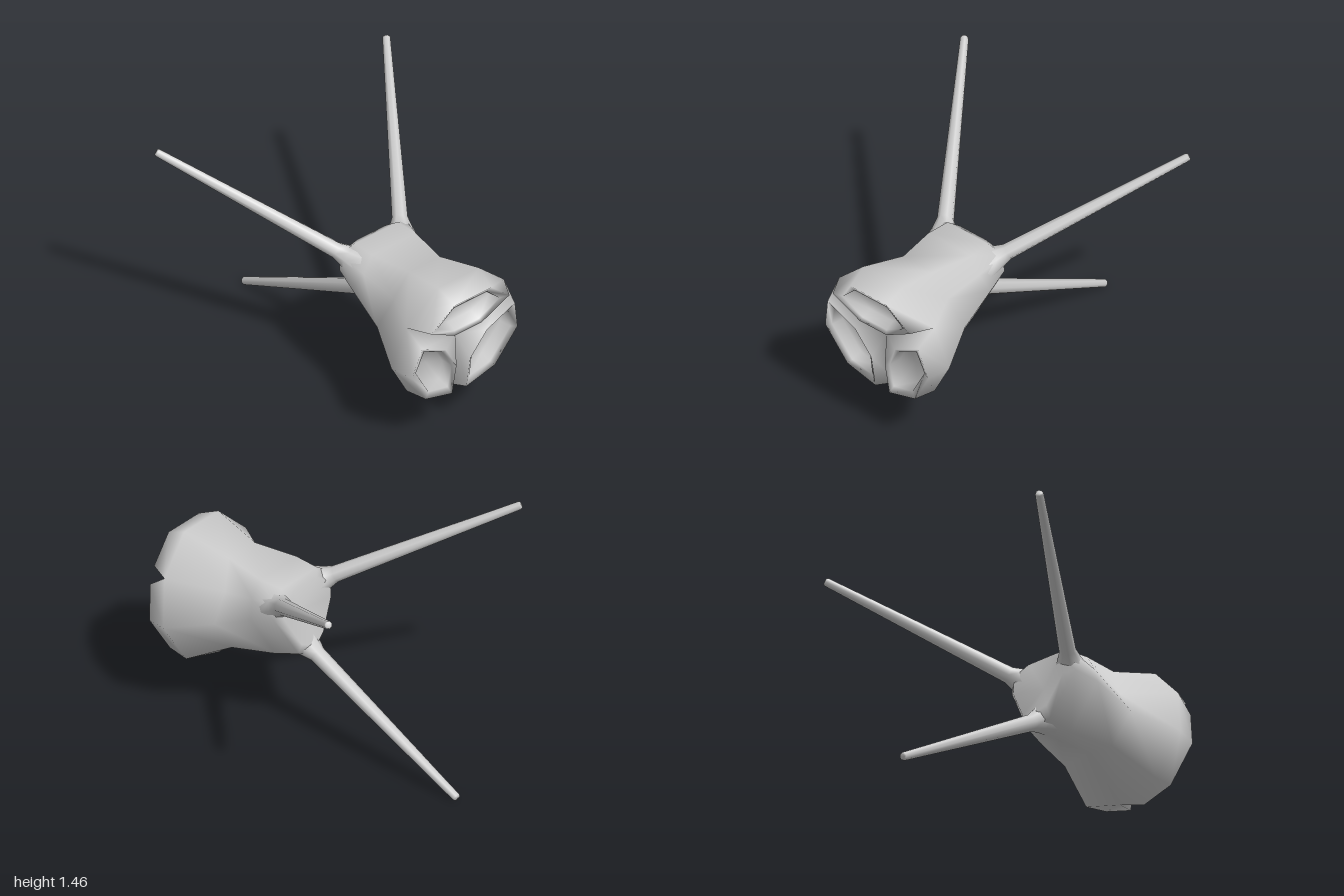
import * as THREE from 'three';
import { mergeVertices } from 'three/addons/utils/BufferGeometryUtils.js';

const material = new THREE.MeshStandardMaterial({ color: 0xcccccc });
const THIRD = (Math.PI * 2) / 3;

// One third of a nine-sided ring: radius and depth at the leg corners, then the two points between.
function arc(legR, legZ, x, y, z) {
  const lx = legR * Math.cos(Math.PI / 6), ly = legR / 2;
  return [[lx, ly, legZ], [x, y, z], [-x, y, z], [-lx, ly, legZ]];
}

// Six-sided loop, mirrored left to right: outer corner, top and bottom points.
function hex(side, top, bottom, z) {
  return [[side[0], side[1], z], [top[0], top[1], z], [-top[0], top[1], z],
    [-side[0], side[1], z], [-bottom[0], bottom[1], z], [bottom[0], bottom[1], z]];
}

function bodyGeometry() {
  const out = [];
  const same = (p, q) => p.every((v, i) => Math.abs(v - q[i]) < 1e-6);
  const tri = (a, b, c) => {
    if (!same(a, b) && !same(b, c) && !same(a, c)) out.push(a, b, c);
  };
  const stitch = (loops, closed) => {
    for (let k = 0; k < loops.length - 1; k++) {
      const a = loops[k], b = loops[k + 1], n = a.length;
      for (let i = 0; i < (closed ? n : n - 1); i++) {
        const j = (i + 1) % n;
        tri(a[i], a[j], b[j]);
        tri(a[i], b[j], b[i]);
      }
    }
  };

  // Shell from the middle of the back to the wide front rim
  const rim = arc(0.41, 0.74, 0.148, 0.403, 0.736);
  stitch([
    Array(4).fill([0, 0, 0.06]),
    arc(0.21, -0.01, 0.1, 0.165, 0.01),
    arc(0.28, 0.03, 0.155, 0.195, 0.05),
    arc(0.258, 0.22, 0.16, 0.228, 0.2),
    arc(0.218, 0.452, 0.112, 0.282, 0.458),
    rim,
  ], false);

  // Front pad: groove, raised ridge and sunken window
  const mid = [0, 0, 0.775];
  stitch([
    [...rim, mid, mid],
    hex([0.285, 0.225], [0.132, 0.367], [0.1, 0.115], 0.871),
    hex([0.225, 0.222], [0.12, 0.328], [0.088, 0.135], 0.855),
    hex([0.205, 0.224], [0.11, 0.31], [0.082, 0.15], 0.79),
    Array(6).fill([0, 0.23, 0.775]),
  ], true);

  // Repeat the sector around the axis
  const pos = [];
  for (let s = 0; s < 3; s++) {
    const c = Math.cos(s * THIRD), n = Math.sin(s * THIRD);
    for (const [x, y, z] of out) pos.push(x * c - y * n, x * n + y * c, z);
  }
  const g = new THREE.BufferGeometry();
  g.setAttribute('position', new THREE.Float32BufferAttribute(pos, 3));
  const merged = mergeVertices(g, 1e-4);
  merged.computeVertexNormals();
  return merged;
}

export function createModel() {
  const model = new THREE.Group();
  model.name = 'threeLeggedPod';

  // Everything is built around z, then tipped slightly forward
  const tilted = new THREE.Group();
  tilted.name = 'tiltedBody';
  tilted.rotation.x = 0.1637;
  tilted.position.set(0, 0.827, 0.08);
  model.add(tilted);

  const body = new THREE.Mesh(bodyGeometry(), material);
  body.name = 'body';
  tilted.add(body);

  // Legs: flared root, long taper, small bevelled tip
  const root = new THREE.Vector3(0.25, 0, 0.01);
  const tip = new THREE.Vector3(0.967, 0, -0.922);
  const dir = tip.clone().sub(root);
  const len = dir.length();
  dir.normalize();
  const profile = [[0.105, -0.12], [0.07, -0.04], [0.048, 0.025], [0.024, len - 0.01],
    [0.018, len], [0, len]].map(([r, y]) => new THREE.Vector2(r, y));
  const legGeometry = new THREE.LatheGeometry(profile, 8);
  const names = ['leftLeg', 'rightLeg', 'bottomLeg'];
  names.forEach((name, i) => {
    const holder = new THREE.Group();
    holder.name = name;
    holder.rotation.z = Math.PI / 6 + i * THIRD;
    const leg = new THREE.Mesh(legGeometry, material);
    leg.name = name + 'Shaft';
    leg.position.copy(root);
    leg.quaternion.setFromUnitVectors(new THREE.Vector3(0, 1, 0), dir);
    holder.add(leg);
    tilted.add(holder);
  });

  return model;
}
